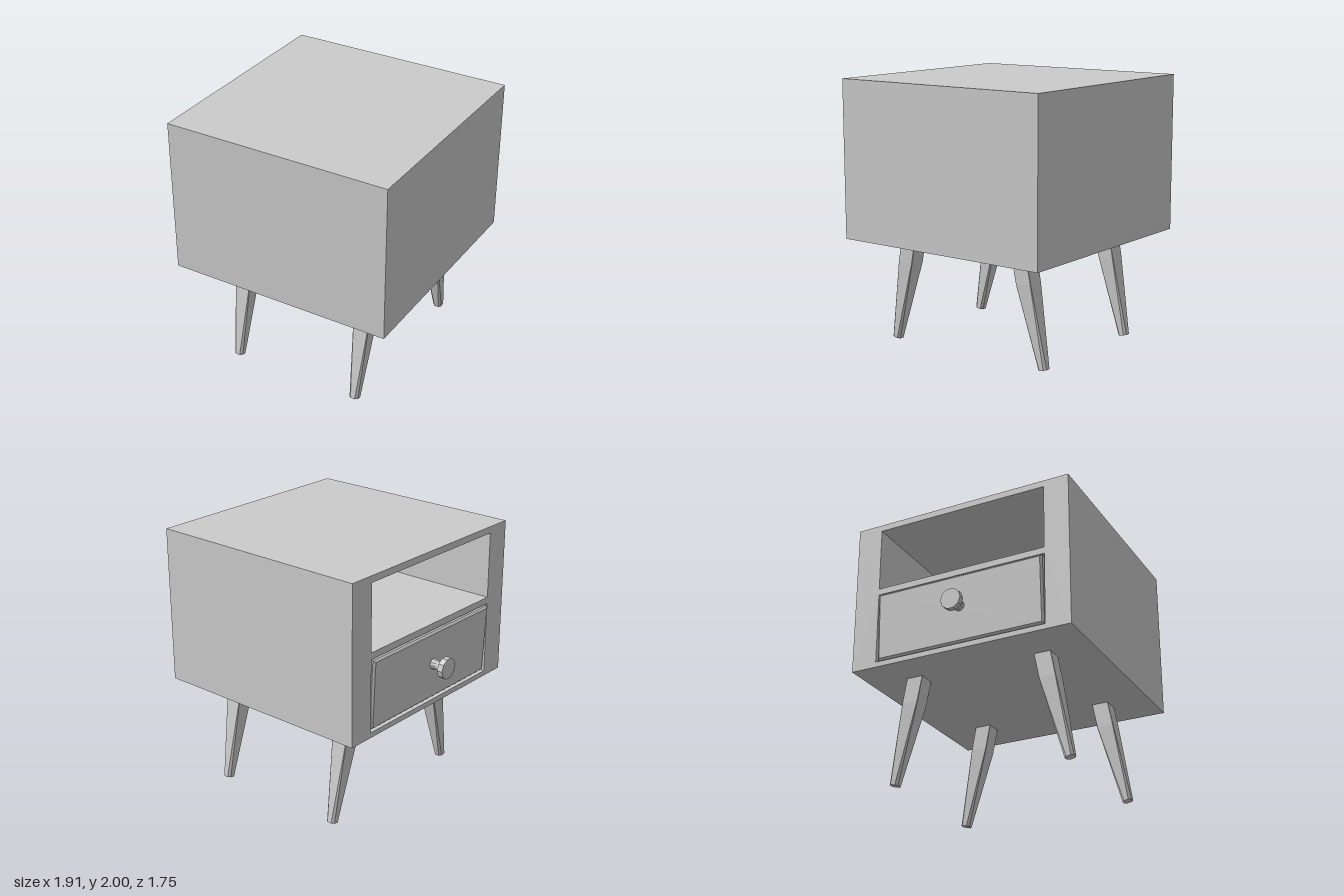
import * as THREE from 'three';

const grey = new THREE.MeshStandardMaterial({ color: 0xcccccc, flatShading: true });

function part(parent, name, geometry) {
  const mesh = new THREE.Mesh(geometry, grey);
  mesh.name = name;
  parent.add(mesh);
  return mesh;
}

// Rectangle outline in the (-z, y) plane
function rect(path, z0, z1, y0, y1) {
  path.moveTo(-z1, y0);
  path.lineTo(-z0, y0);
  path.lineTo(-z0, y1);
  path.lineTo(-z1, y1);
  path.closePath();
  return path;
}

// The closed side is slightly out of square
function skew(geometry) {
  const p = geometry.attributes.position;
  for (let i = 0; i < p.count; i++) {
    if (p.getX(i) > 0.8) p.setX(i, p.getX(i) - (p.getZ(i) + 0.88) * 0.0086);
  }
  geometry.computeVertexNormals();
  return geometry;
}

// Leg: square at the top, bending and tapering to an octagonal foot
function legGeometry(side) {
  // y, centre z, half width, flat share of each side, tilt
  const sections = [
    [0.82, 0.5, 0.065, 0.97, 0],
    [0.62, 0.538, 0.064, 0.95, 0.1],
    [0.012, 0.675, 0.035, 0.5, 0.2],
  ];
  const corners = [[1, -1], [1, 1], [-1, 1], [-1, -1]];
  const pos = [], index = [];
  for (const [y, cz, h, flat, tilt] of sections) {
    corners.forEach(([sx, sz], k) => {
      const a = [sx * h, sz * h * flat], b = [sx * h * flat, sz * h];
      for (const [x, z] of k % 2 ? [a, b] : [b, a]) {
        pos.push(x, y + z * side * tilt * side, side * cz + z * side);
      }
    });
  }
  const face = (a, b, c) => (side > 0 ? index.push(a, b, c) : index.push(a, c, b));
  for (let s = 0; s < 2; s++) {
    for (let i = 0; i < 8; i++) {
      const a = s * 8 + i, b = s * 8 + (i + 1) % 8;
      face(a, b, a + 8);
      face(b, b + 8, a + 8);
    }
  }
  for (let i = 1; i < 7; i++) {
    face(0, i + 1, i);
    face(16, 16 + i, 17 + i);
  }
  const g = new THREE.BufferGeometry();
  g.setAttribute('position', new THREE.Float32BufferAttribute(pos, 3));
  g.setIndex(index);
  g.computeVertexNormals();
  return g;
}

export function createModel() {
  const model = new THREE.Group();
  model.name = 'bedsideCabinet';

  // Case with an open compartment above and a drawer bay below
  const outline = rect(new THREE.Shape(), -0.88, 0.875, 0.81, 2);
  outline.holes.push(rect(new THREE.Path(), -0.68, 0.68, 1.45, 1.95));
  outline.holes.push(rect(new THREE.Path(), -0.68, 0.68, 0.85, 1.4));
  const caseGeometry = new THREE.ExtrudeGeometry(outline, { depth: 1.71, bevelEnabled: false });
  caseGeometry.rotateY(Math.PI / 2).translate(-0.81, 0, 0);
  part(model, 'case', skew(caseGeometry));

  // Closed panel opposite the opening
  const panel = new THREE.BoxGeometry(0.05, 1.19, 1.755).translate(0.925, 1.405, -0.0025);
  part(model, 'backPanel', skew(panel));

  // Drawer with a bevelled front leaning out a little at the top
  const drawer = new THREE.Group();
  drawer.name = 'drawer';
  model.add(drawer);
  const bevel = 0.015;
  const front = rect(new THREE.Shape(), -0.67 + bevel, 0.667 - bevel, -0.53 + bevel, -bevel);
  const frontGeometry = new THREE.ExtrudeGeometry(front, {
    depth: 0.04, bevelSize: bevel, bevelThickness: bevel, bevelSegments: 1,
  });
  frontGeometry.rotateY(Math.PI / 2).translate(bevel, 0, 0);
  const drawerFront = part(drawer, 'drawerFront', frontGeometry);
  drawerFront.position.set(-0.83, 1.39, 0);
  drawerFront.rotation.z = 0.044;
  part(drawer, 'drawerBody', new THREE.BoxGeometry(1.5, 0.45, 1.3)).position.set(0, 1.11, 0);

  // Knob: slim neck flaring into a flat head
  const profile = [[0, 0], [0.042, 0], [0.036, 0.06], [0.042, 0.085], [0.08, 0.105], [0.08, 0.15], [0, 0.15]];
  const knob = part(drawer, 'knob',
    new THREE.LatheGeometry(profile.map(([r, y]) => new THREE.Vector2(r, y)), 10));
  knob.rotation.z = Math.PI / 2 + 0.02;
  knob.position.set(-0.805, 1.14, 0.0125);

  // Splayed legs
  for (const [x, side] of [[0.6, 1], [0.6, -1], [-0.425, 1], [-0.465, -1]]) {
    const leg = part(model, 'leg', legGeometry(side));
    leg.position.set(x, 0, side > 0 ? 0 : -0.015);
  }
  return model;
}
